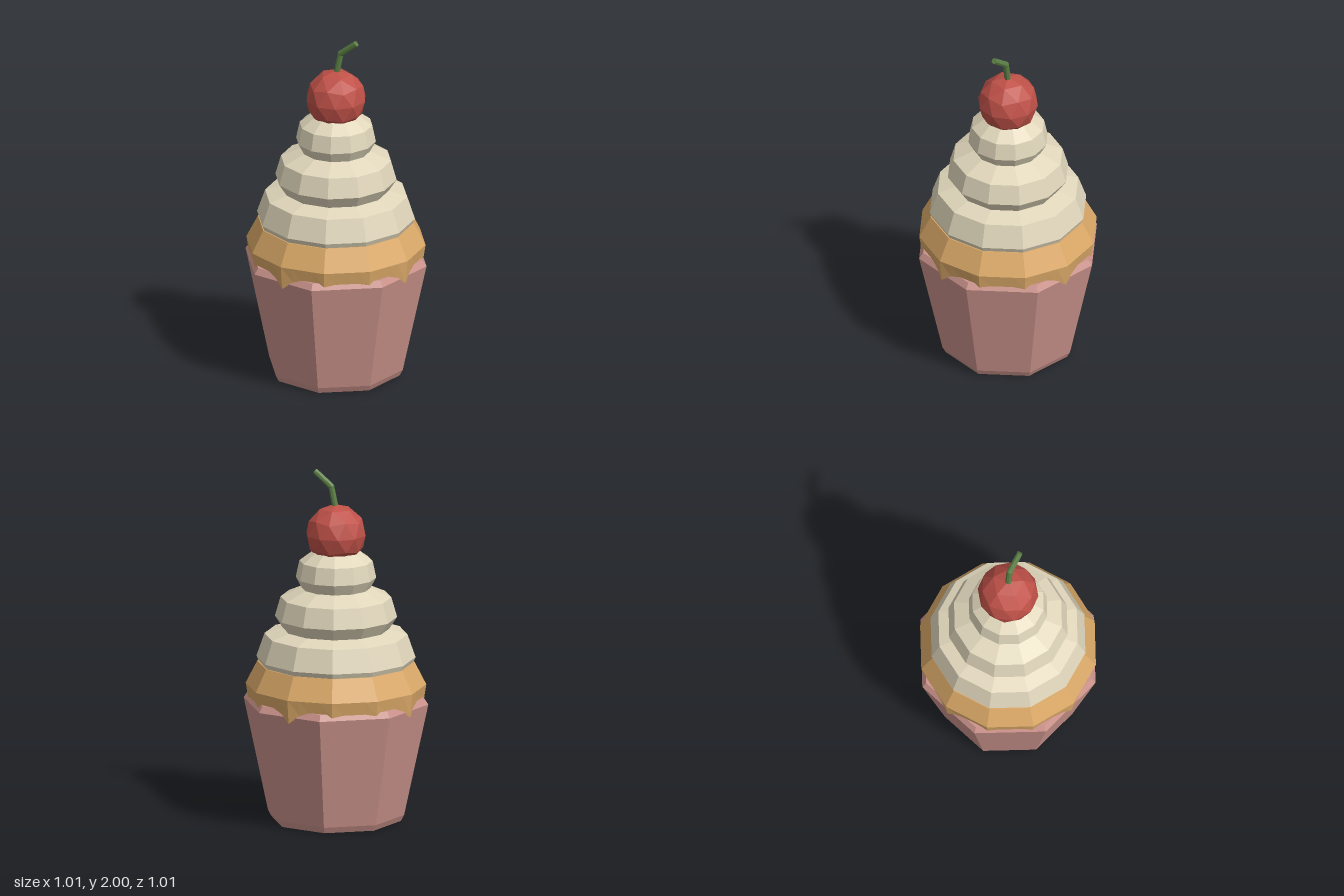
import * as THREE from 'three';

const mat = (name, color) => {
  const m = new THREE.MeshStandardMaterial({ color });
  m.name = name;
  return m;
};

// Split all faces so each one is shaded flat
function faceted(geo) {
  const g = geo.index ? geo.toNonIndexed() : geo;
  g.computeVertexNormals();
  return g;
}

// Faceted solid of revolution from [radius, height] pairs, bottom to top
function turned(points, sides, start = 0) {
  const pts = points.map(([r, y]) => new THREE.Vector2(r, y));
  return new THREE.LatheGeometry(pts, sides, start, Math.PI * 2);
}

// Twelve-sided cake rim whose lower edge hangs down in four drips
function cakeGeometry() {
  const geo = turned([[0.4, 0.7], [0.492, 0.7], [0.505, 0.775], [0.44, 0.902], [0, 0.902]], 48);
  const p = geo.attributes.position;
  const side = Math.PI / 6;
  for (let i = 0; i < p.count; i++) {
    const step = Math.floor(i / 5), row = i % 5;
    const a = (step % 4) * side / 4 - side / 2;
    const k = Math.cos(side / 2) / Math.cos(a);
    p.setX(i, p.getX(i) * k);
    p.setZ(i, p.getZ(i) * k);
    if (row === 1) {
      const d = step % 12;
      p.setY(i, d === 0 ? 0.64 : d === 1 || d === 11 ? 0.69 : d % 4 === 0 ? 0.69 : 0.702);
    }
  }
  return geo;
}

export function createModel() {
  const group = new THREE.Group();
  const pink = mat('wrapperPink', 0xcb938b);
  const tan = mat('cakeTan', 0xdba968);
  const cream = mat('creamIvory', 0xe0d6bb);
  const red = mat('cherryRed', 0xbf5148);
  const green = mat('stemGreen', 0x5c8046);

  const add = (name, geo, material) => {
    const mesh = new THREE.Mesh(faceted(geo), material);
    mesh.name = name;
    group.add(mesh);
    return mesh;
  };

  // Eight-sided wrapper with bevelled rim and foot (widths across flats)
  const k = 1 / Math.cos(Math.PI / 8);
  const wrapper = [[0, 0], [0.34, 0], [0.357, 0.035], [0.484, 0.675], [0.462, 0.71], [0, 0.71]];
  add('wrapper', turned(wrapper.map(([r, y]) => [r * k, y]), 8, Math.PI / 8), pink);

  add('cake', cakeGeometry(), tan);

  // Three stacked swirls of cream
  const tiers = [
    [[0, 0.895], [0.43, 0.895], [0.445, 0.93], [0.4, 1.06], [0.27, 1.1], [0, 1.1]],
    [[0, 1.08], [0.29, 1.08], [0.342, 1.16], [0.31, 1.272], [0.18, 1.33], [0, 1.33]],
    [[0, 1.32], [0.19, 1.32], [0.225, 1.385], [0.205, 1.48], [0.13, 1.535], [0, 1.535]],
  ];
  tiers.forEach((t, i) => add('creamTier' + (i + 1), turned(t, 12), cream));

  // Cherry, with one corner pointing straight up
  const cherry = new THREE.IcosahedronGeometry(0.171, 1);
  cherry.rotateZ(Math.atan2(1, (1 + Math.sqrt(5)) / 2));
  cherry.translate(0, 1.632, 0);
  add('cherry', cherry, red);

  // Bent stem in two pieces with a joint
  const path = [[0, 1.77, 0], [0.025, 1.905, -0.01], [0.124, 1.984, -0.025]]
    .map((v) => new THREE.Vector3(...v));
  for (let i = 0; i < 2; i++) {
    const dir = path[i + 1].clone().sub(path[i]);
    const geo = new THREE.CylinderGeometry(0.017, 0.018, dir.length(), 8);
    const part = add(i ? 'stemTip' : 'stemBase', geo, green);
    part.position.copy(path[i]).addScaledVector(dir, 0.5);
    part.quaternion.setFromUnitVectors(new THREE.Vector3(0, 1, 0), dir.normalize());
  }
  add('stemJoint', new THREE.IcosahedronGeometry(0.018, 1), green).position.copy(path[1]);

  return group;
}
